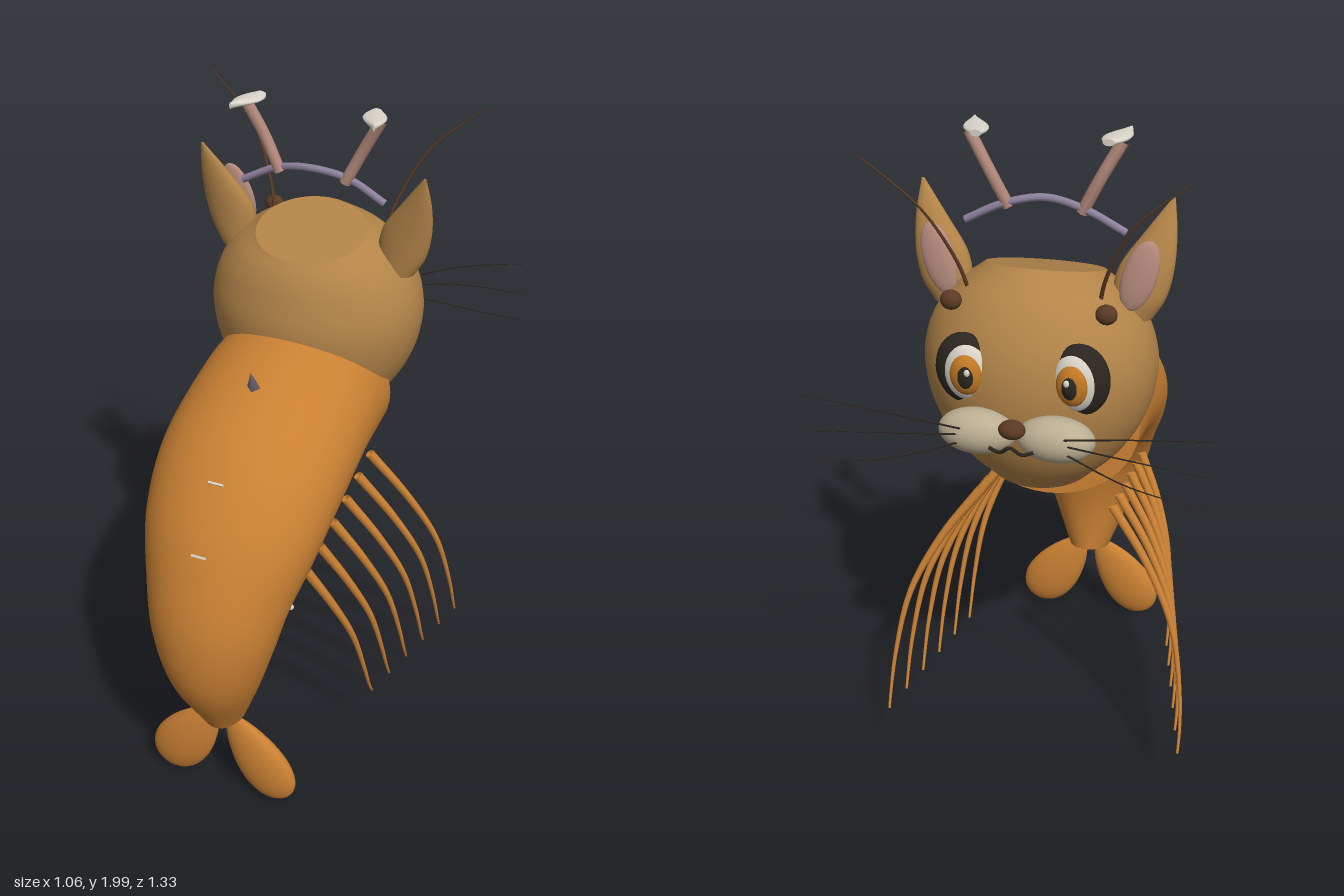
import * as THREE from 'three';

const V = (x, y, z) => new THREE.Vector3(x, y, z);
const mat = (name, color) => {
  const m = new THREE.MeshStandardMaterial({ color });
  m.name = name;
  return m;
};

// Capped loft through elliptical rings; each ring is [x, aY, aZ, bY, bZ, halfWidth]
function loft(rings, segs = 40, steps = 32) {
  const curve = (f) => new THREE.CatmullRomCurve3(rings.map(f), false, 'catmullrom');
  const ca = curve((r) => V(r[0], r[1], r[2]));
  const cb = curve((r) => V(r[0], r[3], r[4]));
  const cw = curve((r) => V(r[5], 0, 0));
  const pos = [], idx = [];
  const ring = (t) => {
    const a = ca.getPoint(t), b = cb.getPoint(t), w = cw.getPoint(t).x;
    const c = a.clone().add(b).multiplyScalar(0.5), h = a.clone().sub(c);
    for (let j = 0; j < segs; j++) {
      const q = (j / segs) * Math.PI * 2;
      pos.push(c.x + h.x * Math.cos(q) + w * Math.sin(q), c.y + h.y * Math.cos(q), c.z + h.z * Math.cos(q));
    }
    return c;
  };
  for (let i = 0; i <= steps; i++) {
    ring(i / steps);
    if (i === steps) break;
    for (let j = 0; j < segs; j++) {
      const k = (j + 1) % segs, p = i * segs, n = p + segs;
      idx.push(p + j, n + j, p + k, n + j, n + k, p + k);
    }
  }
  for (const t of [0, 1]) {
    const start = pos.length / 3, c = ring(t), mid = start + segs;
    pos.push(c.x, c.y, c.z);
    for (let j = 0; j < segs; j++) {
      const p = start + j, q = start + ((j + 1) % segs);
      idx.push(mid, t ? q : p, t ? p : q);
    }
  }
  const g = new THREE.BufferGeometry();
  g.setAttribute('position', new THREE.Float32BufferAttribute(pos, 3));
  g.setIndex(idx);
  g.computeVertexNormals();
  return g;
}

// Tube whose radius shrinks from r0 to r1
function taperTube(points, r0, r1, steps = 24, sides = 8) {
  const path = new THREE.CatmullRomCurve3(points);
  const g = new THREE.TubeGeometry(path, steps, r0, sides);
  const p = g.attributes.position, v = V(0, 0, 0);
  for (let i = 0; i < p.count; i++) {
    const t = Math.floor(i / (sides + 1)) / steps, c = path.getPointAt(t);
    v.fromBufferAttribute(p, i).sub(c).multiplyScalar(1 + (r1 / r0 - 1) * t).add(c);
    p.setXYZ(i, v.x, v.y, v.z);
  }
  return g;
}

export function createModel() {
  const root = new THREE.Group();
  const orange = mat('body orange', 0xc98033), tan = mat('head tan', 0xb38449);
  const cream = mat('muzzle cream', 0xbcae92), dark = mat('near black', 0x2b2620);
  const white = mat('ivory white', 0xd8d4c8), amber = mat('iris amber', 0xc47a26);
  const brown = mat('dark brown', 0x5a3a24), pink = mat('dusty pink', 0xb58a7c);
  const mauve = mat('grey mauve', 0x8d819c), slate = mat('fin grey', 0x655c68);
  orange.side = THREE.DoubleSide;

  const add = (name, geo, m, parent = root) => {
    const mesh = new THREE.Mesh(geo, m);
    mesh.name = name;
    parent.add(mesh);
    return mesh;
  };
  const ball = (name, m, c, r, rotZ = 0) => {
    const mesh = add(name, new THREE.SphereGeometry(1, 28, 20), m);
    mesh.position.set(...c);
    mesh.scale.set(...r);
    mesh.rotation.z = rotZ;
    return mesh;
  };

  // Arched body from neck to tail root
  add('body', loft([
    [0, 1.39, -0.15, 0.905, -0.205, 0.27],
    [0, 1.37, 0.02, 0.885, 0, 0.278],
    [0, 1.245, 0.33, 0.84, 0.15, 0.28],
    [0, 1.06, 0.52, 0.77, 0.25, 0.258],
    [0, 0.86, 0.62, 0.67, 0.32, 0.215],
    [0, 0.68, 0.66, 0.59, 0.345, 0.185],
    [0, 0.49, 0.635, 0.47, 0.36, 0.138],
    [0, 0.28, 0.52, 0.32, 0.36, 0.068],
  ], 48, 48), orange);

  // Rounded head with flat crown and chin
  add('head', loft([
    [0, 1.03, -0.38, 1.06, -0.12, 0.15],
    [0, 1.13, -0.46, 1.14, -0.03, 0.24],
    [0, 1.25, -0.508, 1.25, 0.01, 0.302],
    [0, 1.38, -0.52, 1.37, 0.022, 0.325],
    [0, 1.5, -0.495, 1.47, 0.003, 0.303],
    [0, 1.605, -0.43, 1.535, -0.02, 0.245],
    [0, 1.67, -0.33, 1.58, -0.05, 0.165],
  ], 48, 36), tan);

  // Back fin
  const fin = add('backFin', new THREE.ConeGeometry(0.02, 0.06, 4), slate);
  fin.position.set(0, 1.34, 0.22);
  fin.rotation.x = 0.35;

  // Small pale marks along the spine
  for (const [y, z, tilt] of [[1.14, 0.459, -0.85], [0.97, 0.574, -0.5]]) {
    const mark = add('spineMark', new THREE.BoxGeometry(0.045, 0.006, 0.009), white);
    mark.position.set(0, y, z);
    mark.rotation.x = tilt;
  }

  // Nose and mouth
  ball('nose', brown, [0, 1.325, -0.575], [0.036, 0.026, 0.028]);
  add('mouth', taperTube([V(-0.06, 1.27, -0.585), V(-0.03, 1.262, -0.59), V(0, 1.285, -0.6),
    V(0.03, 1.262, -0.59), V(0.06, 1.27, -0.585)], 0.005, 0.005), dark);

  // Arched band linking the horns
  add('crownBand', taperTube([V(-0.22, 1.74, -0.2), V(-0.11, 1.795, -0.2), V(0, 1.815, -0.187),
    V(0.11, 1.795, -0.2), V(0.22, 1.74, -0.2)], 0.011, 0.011), mauve);

  for (const s of [1, -1]) {
    const side = s > 0 ? 'left' : 'right';

    // Ear: thin leaf leaning outward, with a pink lining
    const ear = [[0.25, 1.52, -0.235, 0.055, 0.04], [0.265, 1.58, -0.235, 0.073, 0.042],
      [0.282, 1.66, -0.225, 0.073, 0.036], [0.313, 1.75, -0.205, 0.043, 0.022], [0.34, 1.84, -0.18, 0.004, 0.003]];
    add(side + 'Ear', loft(ear.map(([x, y, z, w, d]) => [x * s, y, z - d, y, z + d, w]), 24, 20), tan);
    ball(side + 'InnerEar', pink, [0.272 * s, 1.655, -0.28], [0.046, 0.1, 0.018], -0.28 * s).rotation.x = 0.12;

    // Horn stalk with a flat pointed cap
    add(side + 'HornStalk', taperTube([V(0.1 * s, 1.785, -0.195), V(0.15 * s, 1.885, -0.2),
      V(0.205 * s, 1.985, -0.19)], 0.017, 0.017), pink);
    const cap = [[0.175, -0.232, 0.016], [0.183, -0.2, 0.033], [0.193, -0.16, 0.032], [0.212, -0.108, 0.003]];
    add(side + 'HornCap', loft(cap.map(([x, z, w]) => [x * s, 2, z, 1.982, z, w]), 16, 12), white);

    // Layered eye
    const eye = [['EyePatch', dark, 0.155, -0.46, 0.08, 0.102, 0.043], ['EyeWhite', white, 0.147, -0.475, 0.064, 0.084, 0.037],
      ['Iris', amber, 0.143, -0.491, 0.046, 0.062, 0.031], ['Pupil', dark, 0.14, -0.503, 0.028, 0.041, 0.023]];
    for (const [n, m, x, z, a, b, c] of eye) ball(side + n, m, [x * s, 1.43, z], [a, b, c]);
    ball(side + 'EyeGlint', white, [0.132 * s, 1.447, -0.523], [0.008, 0.01, 0.006]);

    // Muzzle cheek and brow knob
    ball(side + 'Cheek', cream, [0.106 * s, 1.285, -0.53], [0.106, 0.063, 0.06]);
    ball(side + 'BrowKnob', brown, [0.208 * s, 1.59, -0.393], [0.029, 0.027, 0.024]);

    // Long brow feeler
    add(side + 'Feeler', taperTube([V(0.175 * s, 1.58, -0.325), V(0.2 * s, 1.68, -0.35), V(0.28 * s, 1.84, -0.395),
      V(0.42 * s, 1.97, -0.42)], 0.006, 0.0015), brown);

    // Three whiskers
    for (const [y0, y1] of [[1.31, 1.41], [1.295, 1.305], [1.275, 1.21]]) {
      add(side + 'Whisker', taperTube([V(0.13 * s, y0, -0.575), V(0.32 * s, (y0 + y1) / 2 + 0.01 * Math.sign(y1 - y0), -0.635),
        V(0.53 * s, y1, -0.665)], 0.003, 0.001, 12, 5), dark);
    }

    // Six trailing legs, spreading wider toward the head
    for (let i = 0; i < 6; i++) {
      const k = i / 5, y = 0.78 + 0.11 * k, z = 0.29 - 0.5 * k, out = 0.34 + 0.115 * k;
      const at = (f, fy, dz) => V(s * (0.2 + (out - 0.2) * f), 0.18 + (y - 0.18) * fy, z - dz);
      add(side + 'Leg' + (i + 1), taperTube([at(0, 1, 0), at(0.45, 0.78, 0.045), at(0.8, 0.53, 0.1),
        at(0.96, 0.25, 0.155), at(1, 0.08, 0.193), at(1, 0, 0.22)], 0.015, 0.004), orange);
    }

    // Tail fluke: flattened leaf, broader at its lower end
    const fluke = new THREE.SphereGeometry(1, 28, 20), p = fluke.attributes.position;
    for (let i = 0; i < p.count; i++) {
      const w = 1 - 0.3 * p.getY(i);
      p.setXYZ(i, p.getX(i) * 0.085 * w, p.getY(i) * 0.165, p.getZ(i) * 0.038 * w);
    }
    fluke.computeVertexNormals();
    const tail = add(side + 'TailFluke', fluke, orange);
    tail.position.set(0.118 * s, 0.155, 0.465);
    tail.rotation.z = 0.58 * s;

    // Pale flank dots
    ball(side + 'FlankDot', white, [0.13 * s, 0.84, 0.275], [0.01, 0.01, 0.01]);
    ball(side + 'FlankDot', white, [0.19 * s, 0.71, 0.38], [0.009, 0.009, 0.009]);
  }
  return root;
}
